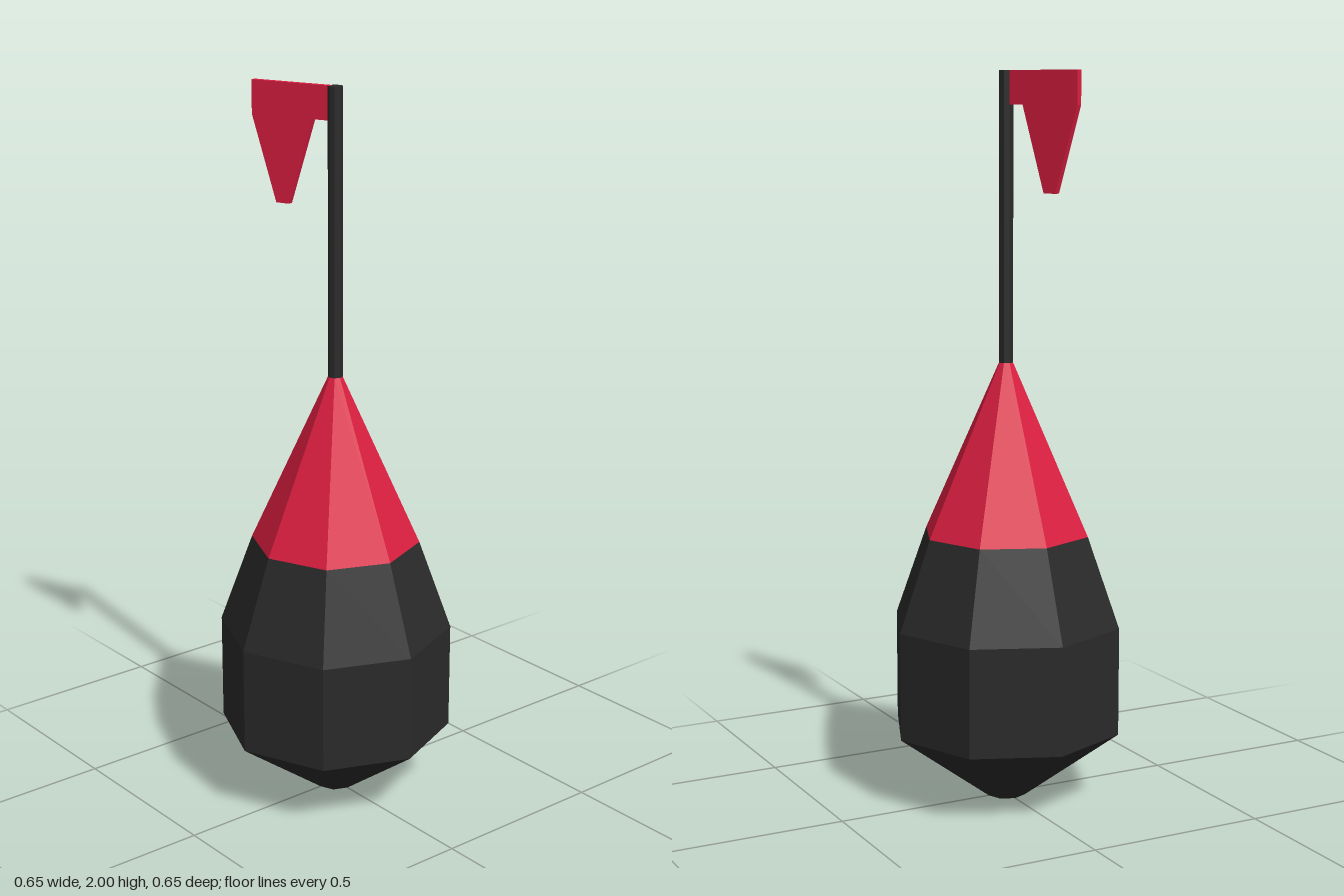
import * as THREE from 'three';

export function createModel() {
  const model = new THREE.Group();
  const dark = new THREE.MeshStandardMaterial({ color: 0x2a2a2a, flatShading: true });
  const red = new THREE.MeshStandardMaterial({ color: 0xdc1e40, flatShading: true });

  const add = (name, geometry, material) => {
    const mesh = new THREE.Mesh(geometry, material);
    mesh.name = name;
    model.add(mesh);
    return mesh;
  };
  // Eight-sided turned form; profile of [radius, height] from bottom to top
  const turned = (profile) =>
    new THREE.LatheGeometry(profile.map(([r, y]) => new THREE.Vector2(r, y)), 8);

  // Dark float body, closed underneath
  add('body', turned([[0, 0], [0.055, 0], [0.323, 0.2], [0.323, 0.5], [0.233, 0.75]]), dark);

  // Red tapering top
  add('cone', turned([[0.233, 0.75], [0.02, 1.22], [0, 1.22]]), red);

  // Thin pole
  add('pole', turned([[0, 1.2], [0.02, 1.2], [0.02, 2], [0, 2]]), dark);

  // Small pennant: narrow strip by the pole, widening into a drooping point
  const outline = [
    [0.012, 2], [0.012, 1.91], [0.063, 1.91], [0.135, 1.68],
    [0.174, 1.68], [0.246, 1.91], [0.246, 2],
  ].map(([x, y]) => new THREE.Vector2(x, y));
  const thickness = 0.016;
  const flag = new THREE.ExtrudeGeometry(new THREE.Shape(outline), {
    depth: thickness, bevelEnabled: false,
  });
  flag.translate(0, 0, -thickness / 2);
  add('flag', flag, red).rotation.y = THREE.MathUtils.degToRad(112.5);

  return model;
}
